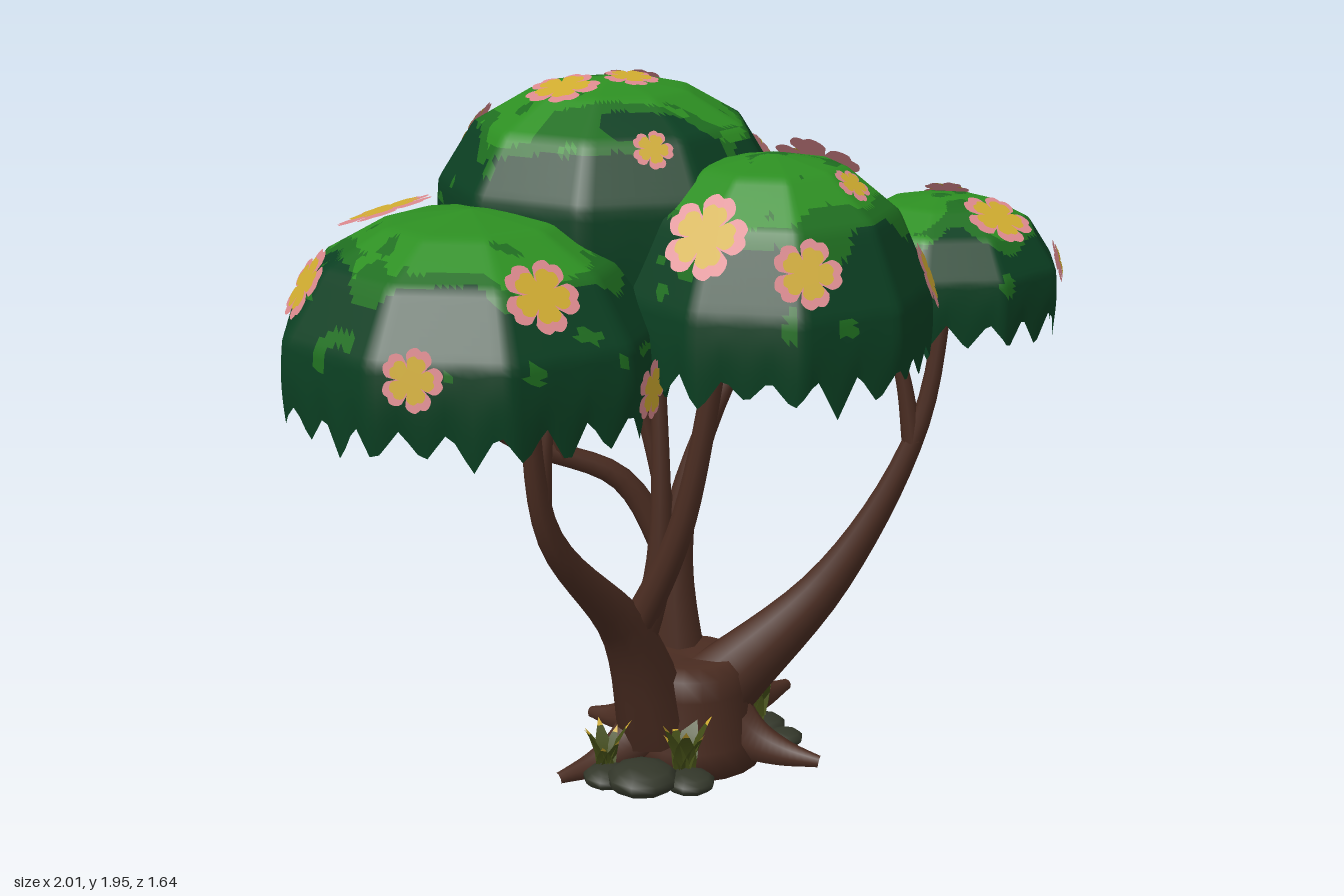
import * as THREE from 'three';

const mat = (name, color, side = THREE.FrontSide) => {
  const m = new THREE.MeshStandardMaterial({ color, side });
  m.name = name;
  return m;
};
const bark = mat('bark brown', 0x4a2c21);
const leafLight = mat('light leaf green', 0x2d8f22, THREE.DoubleSide);
const leafMid = mat('mid leaf green', 0x1f6e20, THREE.DoubleSide);
const leafDark = mat('dark leaf green', 0x0b3f22, THREE.DoubleSide);
const shadeGreen = mat('underside green', 0x09301a, THREE.DoubleSide);
const petalPink = mat('petal pink', 0xdc898e, THREE.DoubleSide);
const petalYellow = mat('petal yellow', 0xd0ac30, THREE.DoubleSide);
const bladeGreen = mat('blade olive', 0x434d16, THREE.DoubleSide);
const stone = mat('mossy stone', 0x33372a);

const V = (x, y, z) => new THREE.Vector3(x, y, z);
const mesh = (name, geo, material, parent) => {
  const m = new THREE.Mesh(geo, material);
  m.name = name;
  parent.add(m);
  return m;
};

// Seeded hash and smooth 3D value noise, both 0..1
const hash = (x, y, z) => {
  const s = Math.sin(x * 127.1 + y * 311.7 + z * 74.7) * 43758.5453;
  return s - Math.floor(s);
};
function noise(x, y, z) {
  const i = [x, y, z].map(Math.floor);
  const f = [x - i[0], y - i[1], z - i[2]].map(t => t * t * (3 - 2 * t));
  let sum = 0;
  for (let c = 0; c < 8; c++) {
    const b = [c & 1, (c >> 1) & 1, c >> 2];
    const w = b.reduce((p, on, k) => p * (on ? f[k] : 1 - f[k]), 1);
    sum += w * hash(i[0] + b[0], i[1] + b[1], i[2] + b[2]);
  }
  return sum;
}

// Canopy dome: faceted cap, short wall, toothed fringe
const CAP = [[0, 1], [0.45, 0.9], [0.79, 0.57], [1, 0]];
const SEG = 132, ROWS = 40, WALL = 0.72;
function domePoint(d, th, v) {
  const step = 2 * Math.PI / 9;
  const a = (th + d.turn + 4 * Math.PI) % step - step / 2;
  const R = d.r * 1.03 * Math.cos(step / 2) / Math.cos(a);
  let r, y;
  if (v <= WALL) {
    const t = v / WALL * 3, k = Math.min(2, Math.floor(t)), f = t - k;
    r = CAP[k][0] + (CAP[k + 1][0] - CAP[k][0]) * f;
    y = d.eave + (d.top - d.eave) * (CAP[k][1] + (CAP[k + 1][1] - CAP[k][1]) * f);
  } else {
    const w = (v - WALL) / (1 - WALL);
    const teeth = Math.round(d.r * 52), u = (th / (2 * Math.PI) * teeth + teeth) % teeth;
    const tooth = (1 - Math.abs((u % 1) * 2 - 1)) * (0.05 + 0.06 * hash(Math.floor(u), d.turn, 3));
    y = d.eave + (d.base + 0.03 - tooth - d.eave) * w;
    r = 1 + 0.015 * Math.sin(w * Math.PI);
  }
  return V(d.x + Math.cos(th) * R * r, y, d.z + Math.sin(th) * R * r);
}

function canopy(parent, name, d, flowers) {
  const g = new THREE.Group();
  g.name = name;
  parent.add(g);
  const pos = [], sets = [[], [], []];
  for (let j = 0; j <= ROWS; j++)
    for (let i = 0; i < SEG; i++) pos.push(...domePoint(d, i / SEG * 2 * Math.PI, j / ROWS).toArray());
  // Leaf patches: each face takes a green from its height and the noise
  const shade = (...ids) => {
    const c = [0, 1, 2].map(k => ids.reduce((s, id) => s + pos[id * 3 + k] / 3, 0));
    const h = (c[1] - d.eave) / (d.top - d.eave) + 0.7 * (noise(c[0] * 7, c[1] * 7, c[2] * 7) - 0.5);
    const spot = noise(c[0] * 15 + 40, c[1] * 15, c[2] * 15) > 0.78;
    let tone = h > 0.68 ? 0 : h > 0.5 ? 1 : 2;
    if (spot && c[1] > d.eave - 0.05) tone = tone === 1 ? 0 : 1;
    sets[tone].push(...ids);
  };
  for (let j = 0; j < ROWS; j++)
    for (let i = 0; i < SEG; i++) {
      const a = j * SEG + i, b = j * SEG + (i + 1) % SEG;
      if (j) shade(a, b, a + SEG);
      shade(b, b + SEG, a + SEG);
    }
  const geo = new THREE.BufferGeometry();
  geo.setAttribute('position', new THREE.Float32BufferAttribute(pos, 3));
  geo.setIndex(sets.flat());
  let start = 0;
  sets.forEach((s, k) => { geo.addGroup(start, s.length, k); start += s.length; });
  geo.computeVertexNormals();
  mesh('leafDome', geo, [leafLight, leafMid, leafDark], g);
  const under = new THREE.CircleGeometry(d.r * 0.96, 18).rotateX(Math.PI / 2);
  mesh('underside', under, shadeGreen, g).position.set(d.x, d.base + 0.06, d.z);
  flowers.forEach(f => blossom(d, f, g));
}

// Five-petal blossom laid on a dome at x, z (or at height y on its wall)
function petalShape(size) {
  const s = new THREE.Shape();
  for (let i = 0; i < 80; i++) {
    const a = i / 80 * 2 * Math.PI, c = Math.abs(Math.cos(2.5 * a));
    const r = size * (0.5 + 0.52 * Math.pow(c, 0.35) - 0.1 * Math.pow(c, 30));
    s[i ? 'lineTo' : 'moveTo'](Math.cos(a) * r, Math.sin(a) * r);
  }
  return new THREE.ShapeGeometry(s);
}
function blossom(d, [x, z, size, y], parent) {
  const th = Math.atan2(z - d.z, x - d.x), want = Math.hypot(x - d.x, z - d.z);
  let best = 0, err = Infinity;
  for (let v = 0.02; v < 0.97; v += 0.01) {
    const p = domePoint(d, th, v);
    const e = Math.abs(y === undefined ? Math.hypot(p.x - d.x, p.z - d.z) - want : p.y - y);
    if (e < err) { err = e; best = v; }
  }
  const down = domePoint(d, th, Math.min(0.99, best + 0.06)).sub(domePoint(d, th, Math.max(0.01, best - 0.06)));
  const normal = down.cross(V(-Math.sin(th), 0, Math.cos(th))).normalize();
  if (normal.x * Math.cos(th) + normal.z * Math.sin(th) + normal.y < 0) normal.negate();
  const f = new THREE.Group();
  f.name = 'blossom';
  f.position.copy(domePoint(d, th, best)).addScaledVector(normal, 0.014);
  f.quaternion.setFromUnitVectors(V(0, 0, 1), normal);
  mesh('petalRim', petalShape(size), petalPink, f);
  mesh('petalHeart', petalShape(size * 0.74), petalYellow, f).position.z = 0.005;
  parent.add(f);
}

// Tube through points, tapering between two radii; returns its curve
function limb(parent, name, pts, r0, r1, power = 2.4) {
  const curve = new THREE.CatmullRomCurve3(pts);
  const n = 20, sides = 9, geo = new THREE.TubeGeometry(curve, n, 1, sides);
  const pos = geo.attributes.position, p = V(0, 0, 0);
  for (let i = 0; i <= n; i++) {
    const c = curve.getPointAt(i / n), r = r1 + (r0 - r1) * Math.pow(1 - i / n, power);
    for (let j = 0; j <= sides; j++) {
      const k = i * (sides + 1) + j;
      p.fromBufferAttribute(pos, k).sub(c).multiplyScalar(r).add(c);
      pos.setXYZ(k, p.x, Math.max(0, p.y), p.z);
    }
  }
  mesh(name, geo, bark, parent);
  return curve;
}

// Side shoot leaving a limb at fraction t and bending up to its end
function fork(parent, curve, t, end) {
  const from = curve.getPointAt(t);
  const bend = from.clone().lerp(end, 0.4).addScaledVector(curve.getTangentAt(t), 0.03);
  limb(parent, 'fork', [from, bend, end], 0.03, 0.018);
}

// Tuft of bent blades with yellow tips
function tuft(parent, x, z, h) {
  const g = new THREE.Group();
  g.name = 'tuft';
  g.position.set(x, 0, z);
  parent.add(g);
  for (let i = 0; i < 7; i++) {
    const len = h * (0.65 + 0.4 * hash(i, x, 1)), blade = new THREE.Group();
    const strip = (y0, y1) => {
      const geo = new THREE.PlaneGeometry(1, y1 - y0, 2, 4).translate(0, (y0 + y1) / 2, 0), p = geo.attributes.position;
      for (let j = 0; j < p.count; j++) {
        const t = p.getY(j);
        p.setXYZ(j, p.getX(j) * 0.3 * h * Math.sin(Math.PI * (0.15 + 0.85 * t)), t * len, 0.4 * len * t * t);
      }
      geo.computeVertexNormals();
      return geo;
    };
    mesh('blade', strip(0, 0.88), bladeGreen, blade);
    mesh('bladeTip', strip(0.88, 1), petalYellow, blade);
    blade.rotation.y = i / 7 * 2 * Math.PI + x * 9;
    g.add(blade);
  }
}

export function createModel() {
  const tree = new THREE.Group();
  tree.name = 'floweringTree';

  // Trunk stump with a dished top, and roots
  const profile = [[0.001, 0], [0.2, 0], [0.18, 0.07], [0.17, 0.22], [0.165, 0.28], [0.13, 0.31], [0, 0.29]];
  const trunk = new THREE.LatheGeometry(profile.map(p => new THREE.Vector2(...p)), 20);
  mesh('trunk', trunk, bark, tree).position.set(0.01, 0, -0.11);
  for (const [x, z] of [[0.24, -0.63], [0.38, -0.07], [-0.31, -0.35], [-0.33, 0.13]]) {
    const along = (t, y) => V(x * t, y, -0.11 + (z + 0.11) * t);
    limb(tree, 'root', [along(0.1, 0.2), along(0.45, 0.07), along(0.7, 0.03), along(1, 0.01)], 0.12, 0.018, 1.1);
  }

  // Limbs, each with its side shoot
  const left = limb(tree, 'leftLimb', [V(0.06, 0.18, -0.12), V(0.4, 0.53, -0.17), V(0.63, 0.97, -0.2), V(0.7, 1.4, -0.22)], 0.12, 0.022);
  fork(tree, left, 0.66, V(0.5, 1.35, -0.2));
  const front = limb(tree, 'frontLimb', [V(-0.07, 0.12, -0.03), V(-0.14, 0.43, 0.08), V(-0.31, 0.8, 0.34), V(-0.35, 1.3, 0.42)], 0.12, 0.025);
  fork(tree, front, 0.68, V(-0.28, 1.3, 0.31));
  const back = limb(tree, 'backLimb', [V(-0.03, 0.1, -0.2), V(-0.05, 0.6, -0.27), V(0.09, 1.05, -0.36), V(0.34, 1.4, -0.63)], 0.1, 0.02);
  fork(tree, back, 0.32, V(-0.25, 1.35, -0.24));
  const right = limb(tree, 'rightLimb', [V(-0.05, 0.5, -0.27), V(-0.2, 0.77, -0.24), V(-0.52, 0.94, -0.12), V(-0.65, 1.25, -0.07)], 0.045, 0.027);
  fork(tree, right, 0.48, V(-0.28, 1.3, -0.08));
  limb(tree, 'innerBranch', [V(-0.14, 0.4, 0.06), V(0.01, 0.75, 0.11), V(0.14, 1.42, 0.14)], 0.05, 0.028);
  limb(tree, 'innerBranch', [V(-0.12, 0.38, 0.05), V(-0.06, 0.6, 0.06), V(-0.07, 1.45, 0.01)], 0.05, 0.02);

  // Canopies; flowers are [x, z, size, optional height]
  canopy(tree, 'rightCanopy', { x: -0.5, z: 0.31, r: 0.49, top: 1.65, eave: 1.36, base: 1.17, turn: 0.2 },
    [[-0.72, 0.28, 0.13], [-0.84, 0.47, 0.1, 1.48], [-0.27, 0.63, 0.1], [-0.73, -0.12, 0.1, 1.47],
      [-0.97, 0.08, 0.065, 1.28], [-0.55, 0.79, 0.08, 1.33], [-0.02, 0.45, 0.08, 1.23]]);
  canopy(tree, 'topCanopy', { x: -0.2, z: -0.1, r: 0.45, top: 1.93, eave: 1.66, base: 1.38, turn: 0.5 },
    [[-0.17, -0.37, 0.1], [-0.3, 0.05, 0.1], [-0.14, -0.05, 0.075], [-0.05, 0.23, 0.055], [-0.57, -0.15, 0.08], [0.17, -0.33, 0.055]]);
  canopy(tree, 'frontLeftCanopy', { x: 0.25, z: 0.13, r: 0.4, top: 1.78, eave: 1.43, base: 1.25, turn: 0.1 },
    [[0.35, -0.07, 0.125], [0.45, 0.23, 0.055], [0.1, 0.47, 0.115, 1.61], [0.36, 0.47, 0.09, 1.54], [0.63, 0.13, 0.09, 1.46]]);
  canopy(tree, 'sideCanopy', { x: 0.67, z: -0.33, r: 0.32, top: 1.59, eave: 1.41, base: 1.27, turn: 0.4 },
    [[0.82, -0.2, 0.1], [0.68, -0.5, 0.065], [0.47, -0.55, 0.08], [0.97, -0.37, 0.06, 1.4]]);
  canopy(tree, 'backCanopy', { x: -0.07, z: -0.36, r: 0.45, top: 1.7, eave: 1.41, base: 1.25, turn: 0.3 },
    [[0.12, -0.67, 0.11], [-0.32, -0.64, 0.075], [-0.53, -0.27, 0.06, 1.5]]);

  // Mossy stones and leafy tufts at the foot
  for (const [x, z, r] of [[-0.09, 0.17, 0.1], [0.04, 0.15, 0.07], [-0.19, 0.14, 0.07], [0.2, -0.27, 0.07], [0.27, -0.2, 0.055]]) {
    const s = mesh('stone', new THREE.SphereGeometry(r, 9, 7), stone, tree);
    s.position.set(x, r * 0.45, z);
    s.scale.y = 0.45;
  }
  tuft(tree, 0.02, 0.11, 0.22);
  tuft(tree, -0.2, 0.11, 0.18);
  tuft(tree, 0.17, -0.25, 0.32);
  return tree;
}
